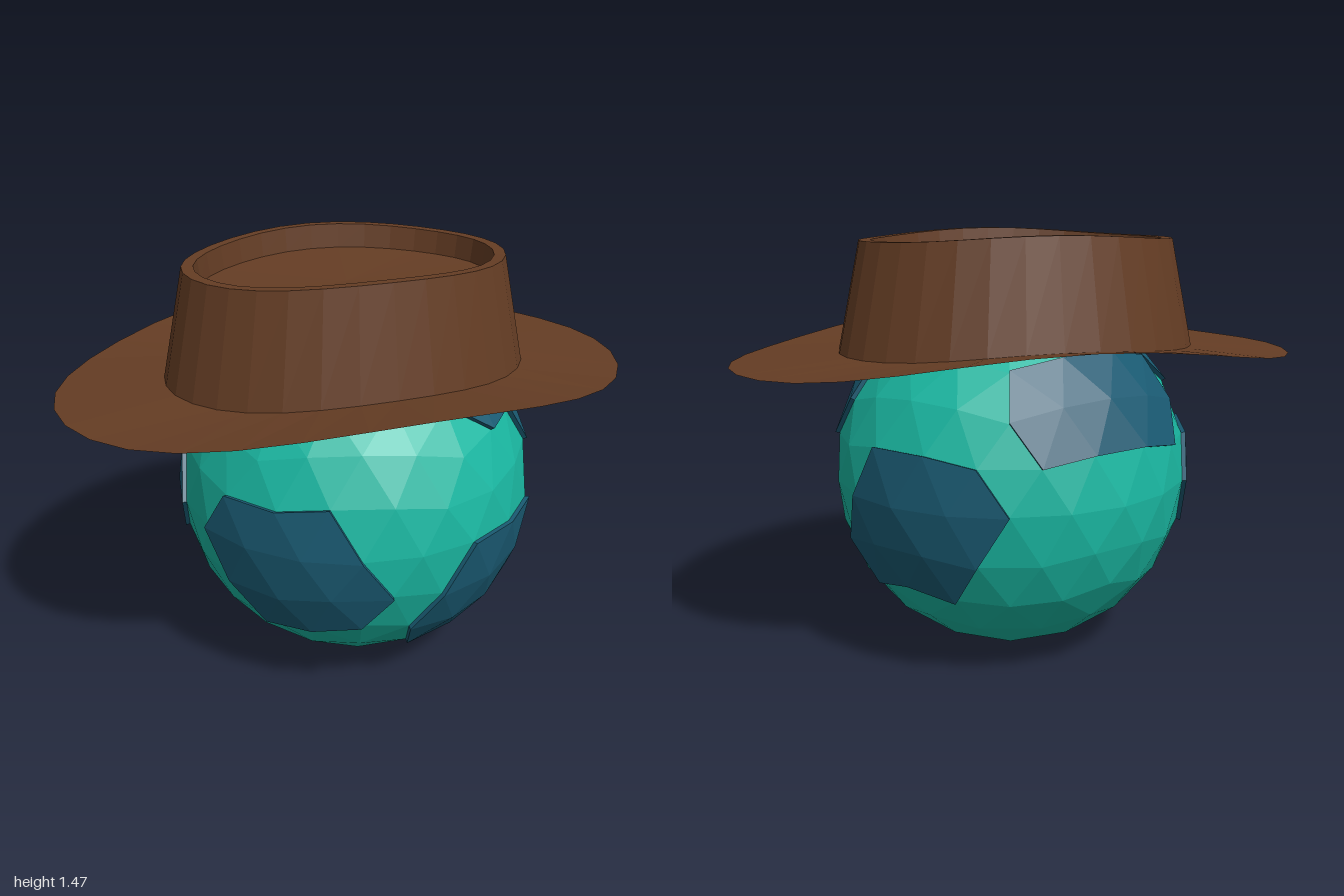
import * as THREE from 'three';

const R = 0.625, CENTER = [0.03, 0.63, 0], RAISE = 1.025, SEGMENTS = 32;

const material = (color, side = THREE.FrontSide) =>
  new THREE.MeshStandardMaterial({ color, flatShading: true, side });

function meshFromTriangles(name, triangles, mat) {
  const geometry = new THREE.BufferGeometry().setFromPoints(triangles.flat());
  geometry.computeVertexNormals();
  const mesh = new THREE.Mesh(geometry, mat);
  mesh.name = name;
  return mesh;
}

// Unit icosphere with a corner at each pole; corners are shared objects
function icosphere(levels) {
  const corner = (y, degrees) => {
    const a = THREE.MathUtils.degToRad(degrees), r = Math.sqrt(1 - y * y);
    return new THREE.Vector3(r * Math.cos(a), y, r * Math.sin(a));
  };
  const h = 1 / Math.sqrt(5);
  const top = new THREE.Vector3(0, 1, 0), bottom = new THREE.Vector3(0, -1, 0);
  const upper = [], lower = [];
  for (let i = 0; i < 5; i++) {
    upper.push(corner(h, 72 + 72 * i));
    lower.push(corner(-h, 36 + 72 * i));
  }
  let faces = [];
  for (let i = 0; i < 5; i++) {
    const j = (i + 1) % 5;
    faces.push([top, upper[j], upper[i]], [bottom, lower[i], lower[j]],
      [upper[i], upper[j], lower[j]], [lower[i], upper[i], lower[j]]);
  }
  // Keep every face counter-clockwise from outside
  faces = faces.map(([a, b, c]) =>
    b.clone().sub(a).cross(c.clone().sub(a)).dot(a) > 0 ? [a, b, c] : [a, c, b]);

  const key = (v) => v.toArray().map((n) => Math.round(n * 1e4) + 0).join();
  for (let level = 0; level < levels; level++) {
    const shared = new Map();
    const mid = (a, b) => {
      const m = a.clone().add(b).normalize(), k = key(m);
      if (!shared.has(k)) shared.set(k, m);
      return shared.get(k);
    };
    faces = faces.flatMap(([a, b, c]) => {
      const ab = mid(a, b), bc = mid(b, c), ca = mid(c, a);
      return [[a, ab, ca], [ab, b, bc], [ca, bc, c], [ab, bc, ca]];
    });
  }
  return faces;
}

// Raised patch: all faces touching the corners nearest to the given directions
function patch(name, faces, directions, mat) {
  const corners = [...new Set(faces.flat())];
  const centres = directions.map((d) => {
    const v = new THREE.Vector3(...d).normalize();
    return corners.reduce((best, c) => (c.dot(v) > best.dot(v) ? c : best));
  });
  const chosen = faces.filter((f) => f.some((v) => centres.includes(v)));
  const low = (v) => v.clone().multiplyScalar(R * 0.99);
  const high = (v) => v.clone().multiplyScalar(R * RAISE);
  const triangles = chosen.map((f) => f.map(high));
  const edges = chosen.flatMap(([a, b, c]) => [[a, b], [b, c], [c, a]]);
  for (const [a, b] of edges) {
    if (edges.some(([p, q]) => p === b && q === a)) continue;
    triangles.push([low(a), low(b), high(b)], [low(a), high(b), high(a)]);
  }
  return meshFromTriangles(name, triangles, mat);
}

// Oval rings [x radius, z radius, height, lift at front and back] joined in order
function ovalLoft(name, rings, mat) {
  const point = ([rx, rz, y, lift], i) => {
    const t = (i / SEGMENTS) * Math.PI * 2;
    return new THREE.Vector3(rx * Math.cos(t), y + lift * Math.sin(t) ** 4, rz * Math.sin(t));
  };
  const triangles = [];
  for (let r = 0; r < rings.length - 1; r++) {
    for (let i = 0; i < SEGMENTS; i++) {
      const a = point(rings[r], i), b = point(rings[r], i + 1);
      const c = point(rings[r + 1], i), d = point(rings[r + 1], i + 1);
      triangles.push([a, c, b]);
      if (rings[r + 1][0] > 0) triangles.push([b, c, d]);
    }
  }
  return meshFromTriangles(name, triangles, mat);
}

export function createModel() {
  const model = new THREE.Group();
  model.name = 'ballWithHat';

  // Faceted ball
  const ball = new THREE.Group();
  ball.name = 'ball';
  ball.position.set(...CENTER);
  const faces = icosphere(2);
  ball.add(meshFromTriangles('ballSurface',
    faces.map((f) => f.map((v) => v.clone().multiplyScalar(R))), material(0x1ab8a2)));

  // Raised dark patches, each given by the corners it surrounds
  const dark = material(0x1a5a72);
  const patches = {
    frontRightPatch: [[-0.449, -0.233, 0.863], [-0.588, 0, 0.809], [-0.809, 0, 0.588], [-0.67, -0.276, 0.688]],
    frontLeftPatch: [[0.447, -0.276, 0.851], [0.682, -0.233, 0.694], [0.263, -0.526, 0.809],
      [0.513, -0.506, 0.694], [0.724, -0.447, 0.526]],
    backLeftPatch: [[0.871, -0.233, -0.434], [0.682, -0.233, -0.694], [0.588, 0, -0.809], [0.809, 0, -0.588]],
    upperLeftPatch: [[0.823, 0.506, 0.26], [0.638, 0.723, 0.263], [0.447, 0.723, 0.526]],
    upperBackPatch: [[0.007, 0.506, -0.863], [-0.263, 0.526, -0.809], [-0.513, 0.506, -0.694]],
    upperRightPatch: [[-0.671, 0.723, 0.162], [-0.671, 0.723, -0.162]],
    rightPatch: [[-0.951, 0, -0.309]],
  };
  for (const [name, directions] of Object.entries(patches)) ball.add(patch(name, faces, directions, dark));
  model.add(ball);

  // Hat: thin curled brim, tapered crown, and a sunken top inside a narrow lip
  const hat = new THREE.Group();
  hat.name = 'hat';
  const brown = material(0x653d24, THREE.DoubleSide);
  const base = [0.635, 0.47, 1.07, 0.04], rim = [0.555, 0.41, 1.445, 0.025];
  const lip = [0.515, 0.375, 1.445, 0.025], floor = [0.505, 0.368, 1.365, 0.02];
  hat.add(
    ovalLoft('brim', [[1, 0.73, 1.04, 0.105], base], brown),
    ovalLoft('crown', [base, rim], brown),
    ovalLoft('crownTop', [rim, lip, floor, [0, 0, 1.365, 0]], brown),
  );
  model.add(hat);
  return model;
}
